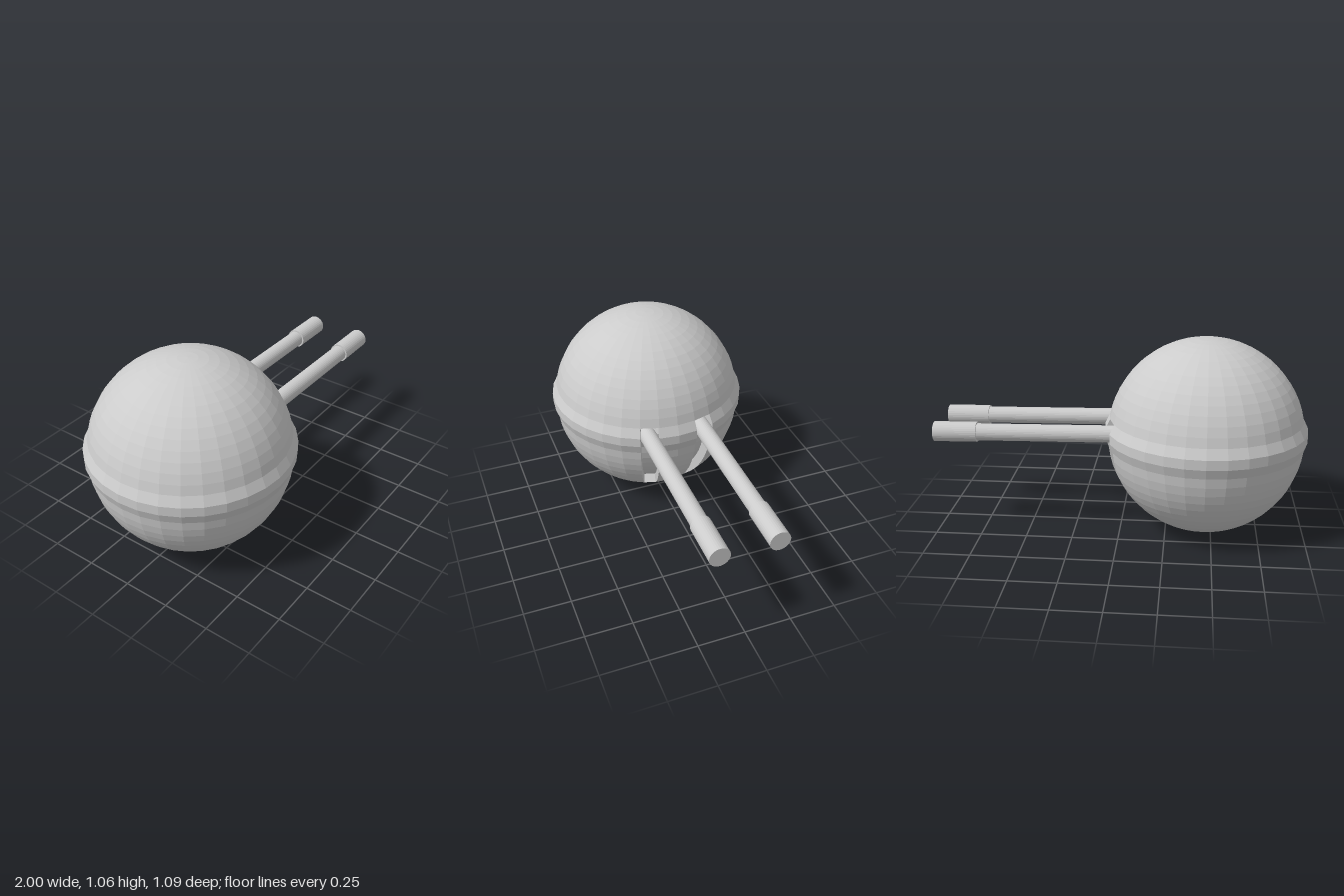
import * as THREE from 'three';

const R = 0.53, CX = -0.457, CY = 0.53;
const SEGS = 32, ROWS = 32;          // facets round and up the ball
const SLOT_LOW = 7, SLOT_TOP = 18;   // rows spanned by the slots
const SLOTS = [1, SEGS - 2];         // facet columns holding a slot
const DEPTH = 0.05;

const grey = new THREE.MeshStandardMaterial({ color: 0xcccccc, flatShading: true });

// Point on the ball: row i from the bottom, column j from +x toward +z, sunk inward
function point(i, j, sink = 0) {
  let lat = (i / ROWS - 0.5) * Math.PI;
  if (sink && i === SLOT_TOP) lat -= 0.025;
  const phi = (j / SEGS) * Math.PI * 2;
  const band = i === 16 || i === 17; // raised belt just above the middle
  const r = band ? 0.545 - sink : (R - sink) * Math.cos(lat);
  return [CX + r * Math.cos(phi), CY + (R - sink) * Math.sin(lat), r * Math.sin(phi)];
}

function quadMesh(name, quads) {
  const pos = [];
  for (const [a, b, c, d] of quads) pos.push(...a, ...b, ...c, ...a, ...c, ...d);
  const geo = new THREE.BufferGeometry();
  geo.setAttribute('position', new THREE.Float32BufferAttribute(pos, 3));
  geo.computeVertexNormals();
  const mesh = new THREE.Mesh(geo, grey);
  mesh.name = name;
  return mesh;
}

const patch = (i, j, sink) =>
  [point(i, j, sink), point(i + 1, j, sink), point(i + 1, j + 1, sink), point(i, j + 1, sink)];

// Faceted ball with two columns left open for the slots
function makeBall() {
  const quads = [];
  for (let i = 0; i < ROWS; i++) {
    for (let j = 0; j < SEGS; j++) {
      if (SLOTS.includes(j) && i >= SLOT_LOW && i < SLOT_TOP) continue;
      quads.push(patch(i, j, 0));
    }
  }
  return quadMesh('ball', quads);
}

// Recessed slot: floor, two side walls and two end walls
function makeSlot(j) {
  const quads = [];
  const side = (i, k) =>
    [point(i, k, DEPTH), point(i, k), point(i + 1, k), point(i + 1, k, DEPTH)];
  const end = (i) =>
    [point(i, j, DEPTH), point(i, j + 1, DEPTH), point(i, j + 1), point(i, j)];
  for (let i = SLOT_LOW; i < SLOT_TOP; i++) {
    quads.push(patch(i, j, DEPTH), side(i, j), side(i, j + 1).reverse());
  }
  quads.push(end(SLOT_LOW), end(SLOT_TOP).reverse());
  return quadMesh('slot', quads);
}

// Barrel with a thicker muzzle, drooping slightly toward the tip
function makeBarrel(z) {
  const barrel = new THREE.Group();
  barrel.name = 'barrel';
  const rod = (name, radius, x0, x1) => {
    const geo = new THREE.CylinderGeometry(radius, radius, x1 - x0, 32);
    geo.rotateZ(-Math.PI / 2).translate((x0 + x1) / 2, 0, 0);
    const mesh = new THREE.Mesh(geo, grey);
    mesh.name = name;
    barrel.add(mesh);
  };
  rod('barrelTube', 0.046, -0.05, 0.78);
  rod('muzzle', 0.054, 0.765, 0.999);
  barrel.position.set(0, 0.568, z);
  barrel.rotation.z = -0.012;
  return barrel;
}

export function createModel() {
  const model = new THREE.Group();
  model.name = 'ballTurret';
  model.add(makeBall());
  for (const j of SLOTS) model.add(makeSlot(j));
  for (const s of [1, -1]) model.add(makeBarrel(s * 0.152));
  return model;
}
